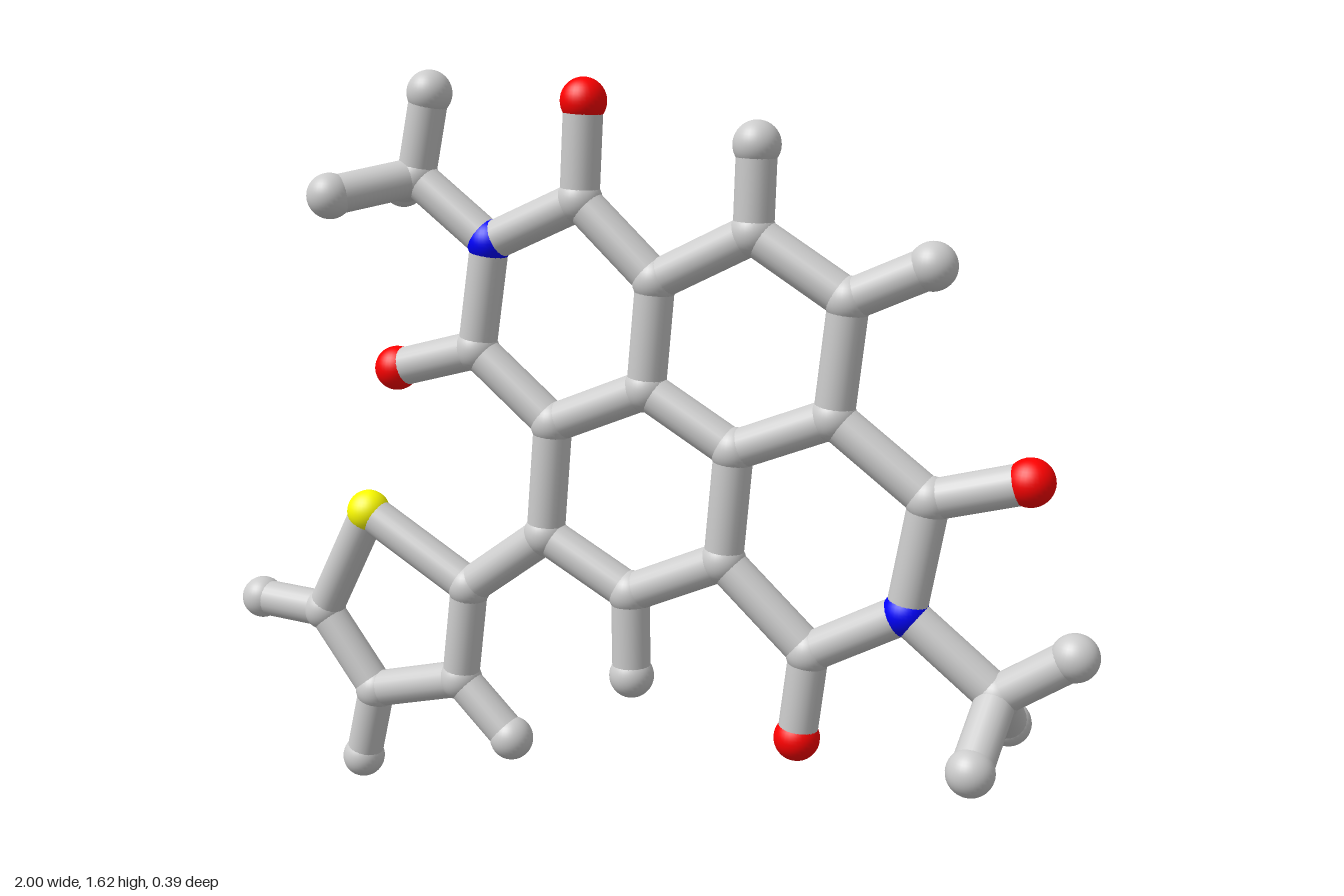
import * as THREE from 'three';

const ATOM_R = 0.048, BOND_R = 0.041;
const COLORS = { C: 0xcccccc, H: 0xcccccc, O: 0xff0000, N: 0x0000ff, S: 0xffff00 };
const NAMES = { C: 'carbon', H: 'hydrogen', O: 'oxygen', N: 'nitrogen', S: 'sulfur' };

// Atom positions; the first letter of each key is the element
const ATOMS = {
  // upper imide ring
  N1: [-0.31, 1.265], C1: [-0.1, 1.36], C2: [0.07, 1.205], C3: [0.05, 0.98],
  C4: [-0.165, 0.89], C5: [-0.345, 1.035], O1: [-0.09, 1.56], O2: [-0.545, 0.98],
  // upper aromatic ring
  C6: [0.28, 1.31], C7: [0.48, 1.19], C8: [0.455, 0.955], C9: [0.245, 0.87],
  H6: [0.285, 1.483], H7: [0.645, 1.265],
  // lower aromatic ring
  C10: [0.225, 0.635], C11: [0.015, 0.54], C12: [-0.185, 0.645], H11: [0.018, 0.357],
  // lower imide ring
  C13: [0.655, 0.81], N2: [0.615, 0.575], C14: [0.415, 0.465],
  O3: [0.85, 0.865], O4: [0.393, 0.277],
  // methyl groups
  C15: [-0.485, 1.395], H15: [-0.448, 1.57],
  H16: [-0.607, 1.362, 0.147], H17: [-0.607, 1.362, -0.147],
  C16: [0.805, 0.43], H18: [0.952, 0.53],
  H19: [0.795, 0.323, 0.147], H20: [0.795, 0.323, -0.147],
  // five-sided sulfur ring
  S1: [-0.63, 0.648, 0], C17: [-0.375, 0.505, 0], C18: [-0.405, 0.285, -0.005],
  C19: [-0.635, 0.222, -0.018], C20: [-0.77, 0.395, -0.02],
  H21: [-0.275, 0.167, 0], H22: [-0.68, 0.049, -0.025], H23: [-0.952, 0.397, -0.035],
};

// Chains of bonded atoms
const CHAINS = [
  'N1 C1 C2 C3 C4 C5 N1', 'C2 C6 C7 C8 C9 C3', 'C9 C10 C11 C12 C4',
  'C8 C13 N2 C14 C10', 'C1 O1', 'C5 O2', 'C13 O3', 'C14 O4',
  'C6 H6', 'C7 H7', 'C11 H11',
  'N1 C15 H15', 'H16 C15 H17', 'N2 C16 H18', 'H19 C16 H20',
  'C12 C17 C18 C19 C20 S1 C17', 'C18 H21', 'C19 H22', 'C20 H23',
];

export function createModel() {
  const model = new THREE.Group();
  model.name = 'molecule';
  const atoms = new THREE.Group(), bonds = new THREE.Group();
  atoms.name = 'atoms';
  bonds.name = 'bonds';
  model.add(atoms, bonds);

  const materials = {};
  for (const e in COLORS) materials[e] = new THREE.MeshStandardMaterial({ color: COLORS[e] });

  // Atoms: one shared ball
  const ball = new THREE.SphereGeometry(ATOM_R, 32, 20);
  const points = {};
  for (const key in ATOMS) {
    const [x, y, z = 0] = ATOMS[key];
    points[key] = new THREE.Vector3(x, y, z);
    const mesh = new THREE.Mesh(ball, materials[key[0]]);
    mesh.name = NAMES[key[0]] + 'Atom' + key.slice(1);
    mesh.position.copy(points[key]);
    atoms.add(mesh);
  }

  // Bonds: rods between neighbours in each chain
  const up = new THREE.Vector3(0, 1, 0);
  for (const chain of CHAINS) {
    const keys = chain.split(' ');
    for (let i = 1; i < keys.length; i++) {
      const a = points[keys[i - 1]], b = points[keys[i]];
      const dir = b.clone().sub(a);
      const rod = new THREE.CylinderGeometry(BOND_R, BOND_R, dir.length(), 24, 1, true);
      const mesh = new THREE.Mesh(rod, materials.C);
      mesh.name = `bond${keys[i - 1]}to${keys[i]}`;
      mesh.position.copy(a).lerp(b, 0.5);
      mesh.quaternion.setFromUnitVectors(up, dir.normalize());
      bonds.add(mesh);
    }
  }
  return model;
}
